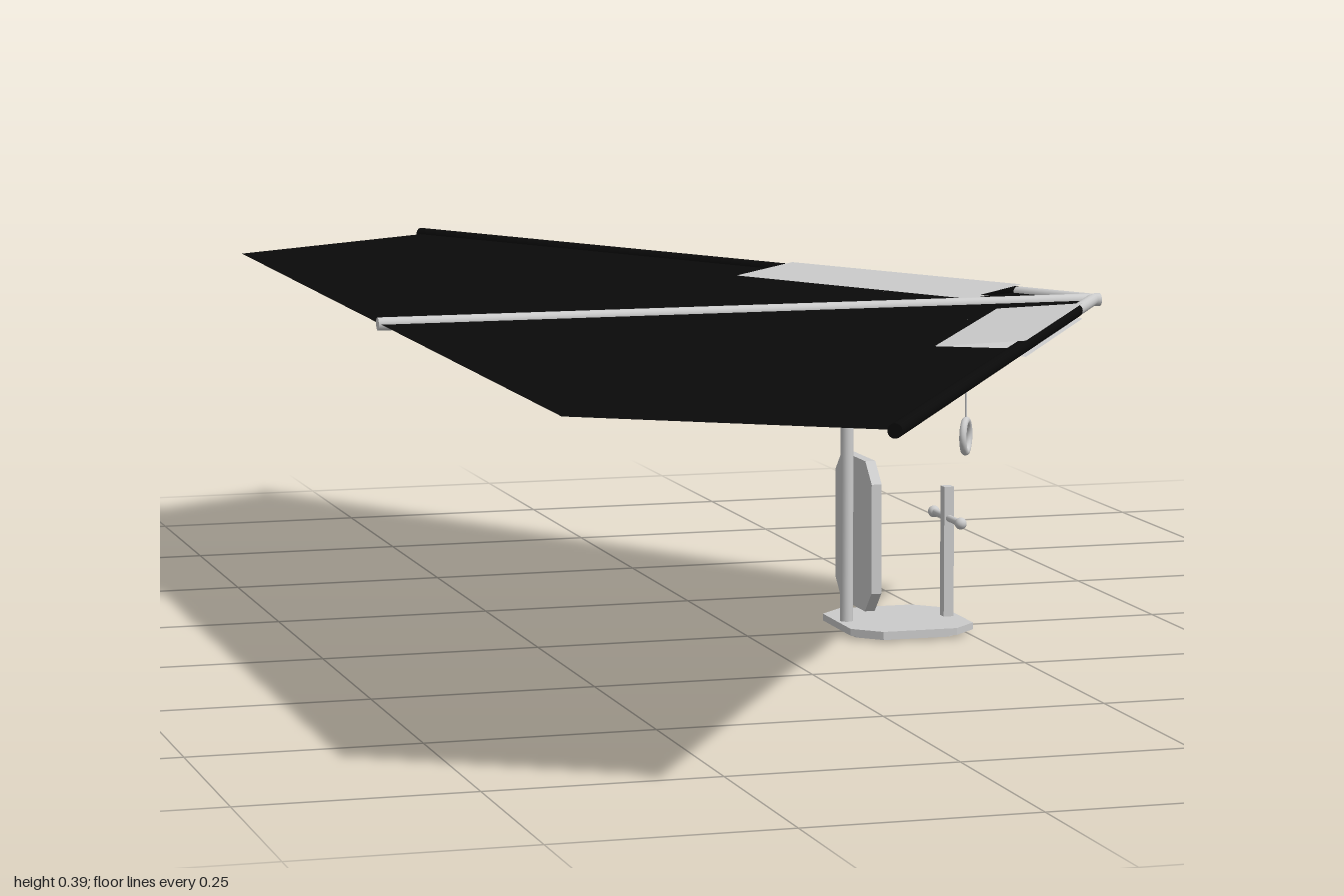
import * as THREE from 'three';

const grey = new THREE.MeshStandardMaterial({ color: 0xcccccc, side: THREE.DoubleSide });
const black = new THREE.MeshStandardMaterial({ color: 0x0a0a0a, side: THREE.DoubleSide });
const WING_Y = 0.3775;
const TUBE = 0.0075;

export function createModel() {
  const model = new THREE.Group();
  model.name = 'hangGlider';

  function add(name, geometry, material = grey, parent = model) {
    const mesh = new THREE.Mesh(geometry, material);
    mesh.name = name;
    parent.add(mesh);
    return mesh;
  }

  // Straight round bar between two points
  function bar(name, a, b, radius, material = grey) {
    const start = new THREE.Vector3(...a), end = new THREE.Vector3(...b);
    const dir = end.clone().sub(start);
    const mesh = add(name, new THREE.CylinderGeometry(radius, radius, dir.length(), 16), material);
    mesh.position.copy(start).add(end).multiplyScalar(0.5);
    mesh.quaternion.setFromUnitVectors(new THREE.Vector3(0, 1, 0), dir.normalize());
    return mesh;
  }

  // Flat plate with cut corners, lying in XY and extruded along z
  function plate(w, h, cut, depth) {
    const x = w / 2, y = h / 2;
    const shape = new THREE.Shape([
      [-x + cut, -y], [x - cut, -y], [x, -y + cut], [x, y - cut],
      [x - cut, y], [-x + cut, y], [-x, y - cut], [-x, -y + cut],
    ].map(p => new THREE.Vector2(...p)));
    return new THREE.ExtrudeGeometry(shape, { depth, bevelEnabled: false });
  }

  // Point on the wing: t along the leading edge, w inwards from it
  const edge = (t, w, s) => [0.43 - 0.5 * t - 0.866 * w, s * (0.866 * t - 0.5 * w)];

  for (const s of [1, -1]) {
    const side = s > 0 ? 'left' : 'right';

    // Sail half with a notch for the window
    const outline = [
      [0.425, 0], edge(0.12, 0.004, s), edge(0.12, 0.1, s), edge(0.49, 0.1, s), edge(0.49, 0.004, s),
      [-0.148, s * 0.99], [-0.43, s * 0.805], [-0.43, 0],
    ].map(p => new THREE.Vector2(...p));
    const sail = add(side + 'Sail', new THREE.ShapeGeometry(new THREE.Shape(outline)), black);
    sail.rotation.x = Math.PI / 2;
    sail.position.y = WING_Y;

    // Window panel wrapped over and under the leading edge
    const positions = [], index = [];
    for (const h of [0.0088, -0.0088]) {
      const n = positions.length / 3;
      for (const [t, w, y] of [[0.12, 0, h], [0.12, 0.1, 0], [0.49, 0.1, 0], [0.49, 0, h]]) {
        const [x, z] = edge(t, w, s);
        positions.push(x, WING_Y + y, z);
      }
      // Winding keeps the normals pointing outwards
      if (s * h > 0) index.push(n, n + 1, n + 2, n, n + 2, n + 3);
      else index.push(n, n + 2, n + 1, n, n + 3, n + 2);
    }
    const windowGeometry = new THREE.BufferGeometry();
    windowGeometry.setAttribute('position', new THREE.Float32BufferAttribute(positions, 3));
    windowGeometry.setIndex(index);
    windowGeometry.computeVertexNormals();
    add(side + 'Window', windowGeometry);

    // Leading edge: bare tube at the nose, black sleeve beyond
    const at = t => { const [x, z] = edge(t, TUBE, s); return [x, WING_Y, z]; };
    bar(side + 'NoseTube', at(0.004), at(0.12), TUBE * 0.95);
    bar(side + 'LeadingEdgeSleeve', at(0.12), at(1.153), TUBE, black);

    // Hanging hand ring, parallel to the leading edge
    const z = s * 0.15;
    bar(side + 'RingCord', [0.213, 0.264, z], [0.213, WING_Y, z], 0.001);
    const ring = add(side + 'Ring', new THREE.TorusGeometry(0.018, 0.0042, 12, 32));
    ring.position.set(0.213, 0.245, z);
    ring.rotation.y = s * Math.PI / 3;

    // Handlebar end knob
    const knob = add(side + 'HandlebarKnob', new THREE.SphereGeometry(0.007, 16, 12));
    knob.position.set(0.243, 0.128, s * 0.048);
  }

  // Frame
  bar('keel', [-0.433, WING_Y, 0], [0.43, WING_Y, 0], TUBE);
  bar('mast', [0.12, 0.004, 0], [0.12, WING_Y, 0], TUBE);

  // Seat with underplate
  const seat = add('seat', plate(0.149, 0.166, 0.03, 0.008));
  seat.rotation.x = -Math.PI / 2;
  seat.position.set(0.1825, 0.004, 0);
  const underplate = add('seatUnderplate', plate(0.131, 0.14, 0.026, 0.005));
  underplate.rotation.x = -Math.PI / 2;
  underplate.position.set(0.1825, 0, 0);

  // Backrest
  const backrest = add('backrest', plate(0.136, 0.175, 0.024, 0.012));
  backrest.rotation.y = Math.PI / 2;
  backrest.position.set(0.128, 0.1175, 0);

  // Control column and handlebar
  const column = add('controlColumn', new THREE.BoxGeometry(0.012, 0.154, 0.014));
  column.position.set(0.243, 0.088, 0);
  bar('handlebar', [0.243, 0.128, -0.048], [0.243, 0.128, 0.048], 0.004);

  return model;
}
